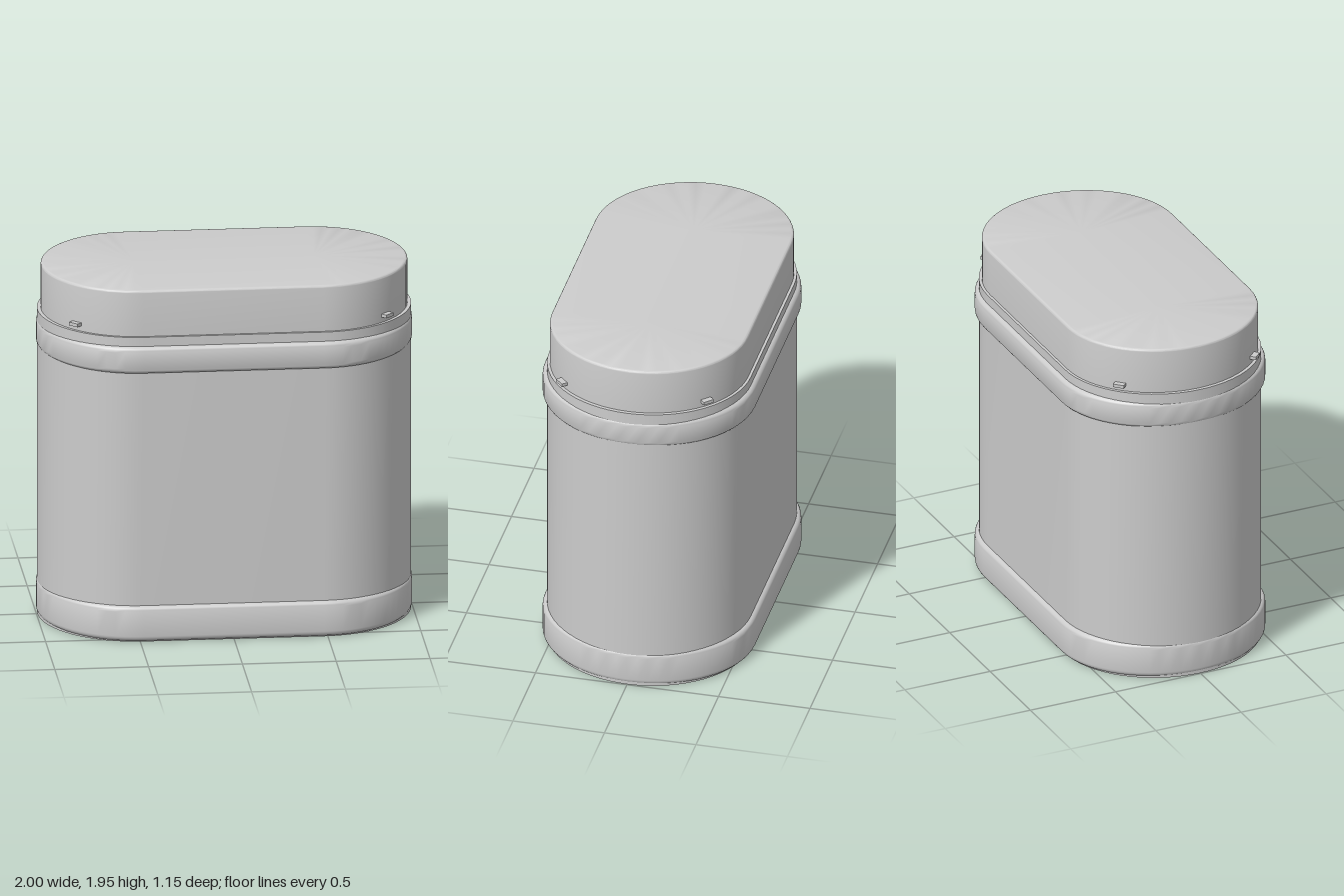
import * as THREE from 'three';
import { toCreasedNormals } from 'three/addons/utils/BufferGeometryUtils.js';

const STRAIGHT = 0.48; // half length of the flat sides
const ARC = 32; // segments in each rounded end

// Lofts rounded-end sections; each row is [end radius in x, half depth in z, y], bottom to top.
function loft(rows) {
  const pos = [], index = [], n = 2 * (ARC + 1);
  for (const [rx, rz, y] of rows) {
    for (const side of [1, -1]) {
      for (let i = 0; i <= ARC; i++) {
        const a = -Math.PI / 2 + (Math.PI * i) / ARC;
        pos.push(side * (STRAIGHT + rx * Math.cos(a)), y, side * rz * Math.sin(a));
      }
    }
  }
  for (let r = 0; r < rows.length - 1; r++) {
    for (let i = 0; i < n; i++) {
      const a = r * n + i, b = r * n + ((i + 1) % n);
      index.push(a, a + n, b, b, a + n, b + n);
    }
  }
  const g = new THREE.BufferGeometry();
  g.setAttribute('position', new THREE.Float32BufferAttribute(pos, 3));
  g.setIndex(index);
  return toCreasedNormals(g, 0.6);
}

// Quarter-round fillet rows between the wall and a horizontal face.
function fillet(rx, rz, y, r, dir) {
  const rows = [];
  for (let i = 0; i <= 5; i++) {
    const a = (Math.PI / 2) * (i / 5), inset = r * (1 - Math.cos(a));
    rows.push([rx - inset, rz - inset, y + dir * (r * Math.sin(a) - r)]);
  }
  return dir > 0 ? rows : rows.reverse();
}

export function createModel() {
  const group = new THREE.Group();
  const metal = new THREE.MeshStandardMaterial({ color: 0xcccccc });
  metal.name = 'light grey';
  const add = (name, geometry) => {
    const mesh = new THREE.Mesh(geometry, metal);
    mesh.name = name;
    group.add(mesh);
    return mesh;
  };

  // Canister body, closed at the bottom, with a flat rim on top
  add('body', loft([[0, 0, 0], [0.515, 0.55, 0], [0.515, 0.55, 1.69], [0, 0, 1.69]]));

  // Raised bands with rounded edges
  const band = (name, y0, y1) => add(name, loft([
    [0.46, 0.5, y0],
    ...fillet(0.52, 0.575, y0, 0.03, -1),
    ...fillet(0.52, 0.575, y1, 0.03, 1),
    [0.46, 0.5, y1],
  ]));
  band('baseBand', 0.005, 0.2);
  band('upperBand', 1.49, 1.64);

  // Lid with a softened top edge
  add('lid', loft([[0.495, 0.535, 1.68], ...fillet(0.495, 0.535, 1.945, 0.015, 1), [0, 0, 1.945]]));

  // Four small catches on the rounded corners of the lid
  for (const sx of [1, -1]) {
    for (const sz of [1, -1]) {
      const tab = add('catch', new THREE.BoxGeometry(0.04, 0.018, 0.06));
      tab.position.set(sx * 0.83, 1.728, sz * 0.395);
      tab.rotation.y = -sx * sz * Math.PI / 4;
    }
  }
  return group;
}
